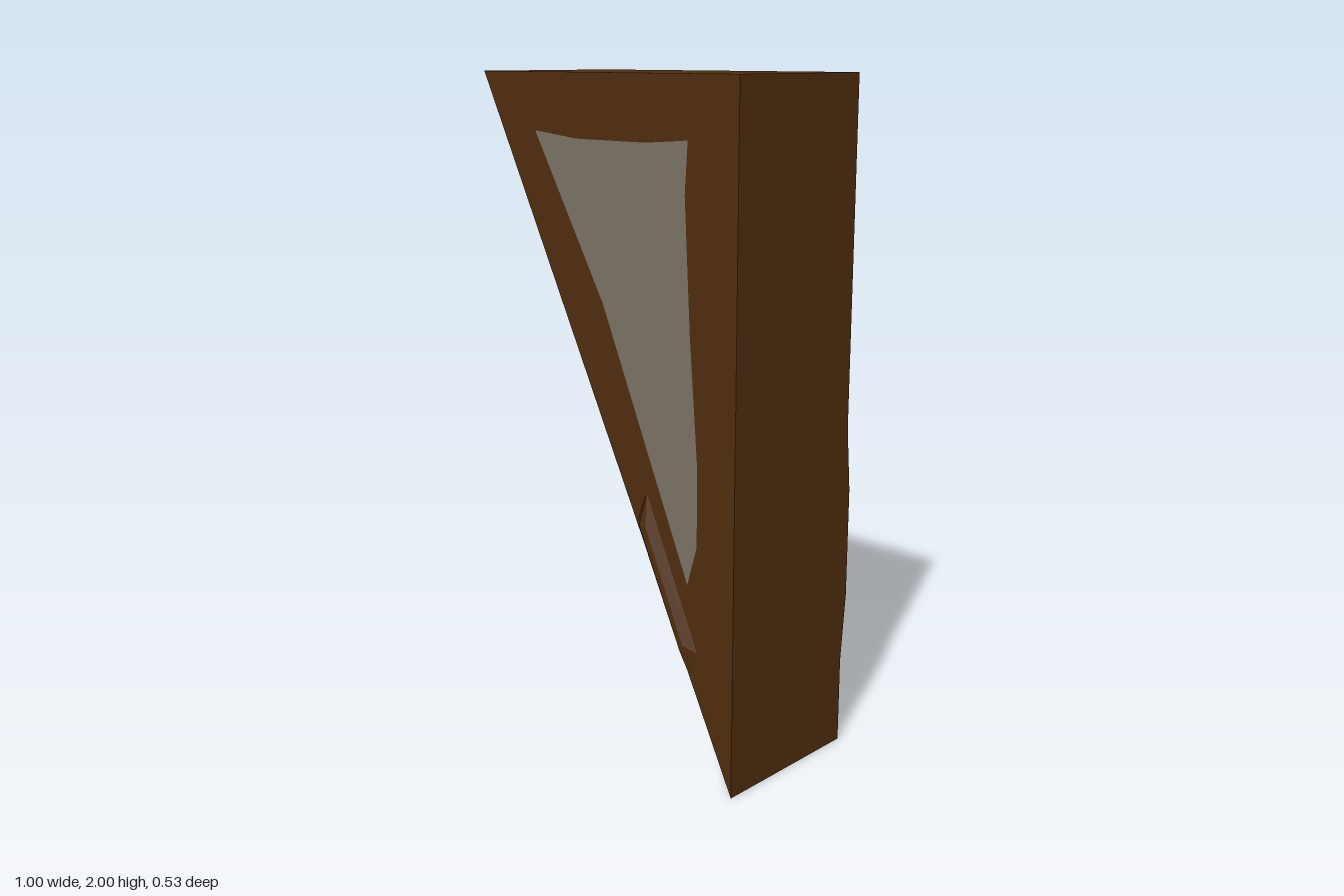
import * as THREE from 'three';

const wood = new THREE.MeshStandardMaterial({ color: 0x502d0e });
wood.name = 'darkBrown';
const stone = new THREE.MeshStandardMaterial({ color: 0x7a7265 });
stone.name = 'warmGrey';

// Convex solid between two matching outlines (counter-clockwise seen from the front)
function loft(name, back, zBack, front, zFront) {
  const pos = [];
  const n = front.length;
  const b = back.map(([x, y]) => [x, y, zBack]);
  const f = front.map(([x, y]) => [x, y, zFront]);
  const tri = (...corners) => corners.forEach((c) => pos.push(...c));
  for (let i = 0; i < n; i++) {
    const j = (i + 1) % n;
    tri(b[i], b[j], f[j]);
    tri(b[i], f[j], f[i]);
    if (i < n - 2) {
      tri(f[n - 1], f[i], f[i + 1]);
      tri(b[n - 1], b[i + 1], b[i]);
    }
  }
  const geo = new THREE.BufferGeometry();
  geo.setAttribute('position', new THREE.Float32BufferAttribute(pos, 3));
  geo.computeVertexNormals();
  const mesh = new THREE.Mesh(geo, wood);
  mesh.name = name;
  return mesh;
}

// Flat inlay; side is 1 for the front and -1 for the back
function inlay(name, points, side) {
  const shape = new THREE.Shape(points.map(([x, y]) => new THREE.Vector2(x * side, y)));
  const geo = new THREE.ShapeGeometry(shape);
  if (side < 0) geo.rotateY(Math.PI);
  geo.translate(0, 0, 0.252 * side);
  const mesh = new THREE.Mesh(geo, stone);
  mesh.name = name;
  return mesh;
}

export function createModel() {
  const group = new THREE.Group();
  group.name = 'wedgeBlock';

  // Tapered block with a blunted rear tip
  const outline = (tipX) => [[-0.5, 2], [0.33, 0.34], [tipX, 0.05], [0.5, 0], [0.5, 2]];
  group.add(loft('body', outline(0.45), -0.25, outline(0.475), 0.25));

  // Shallow swelling on the front along the slanted edge
  group.add(loft('frontSwelling',
    [[0.13, 0.74], [0.335, 0.33], [0.37, 0.4], [0.17, 0.84]], 0.249,
    [[0.155, 0.74], [0.315, 0.4], [0.325, 0.42], [0.18, 0.74]], 0.267));

  // Shallow swelling on the back along the upright edge
  group.add(loft('backSwelling',
    [[0.36, 0.8], [0.375, 0.52], [0.5, 0.47], [0.5, 0.8]], -0.268,
    [[0.35, 0.9], [0.36, 0.5], [0.5, 0.25], [0.5, 1.0]], -0.249));

  // Grey faces
  group.add(inlay('frontInlay', [
    [-0.275, 1.835], [0, 1.36], [0.33, 0.6], [0.365, 0.72], [0.365, 0.95],
    [0.335, 1.32], [0.315, 1.69], [0.325, 1.83], [0.17, 1.818], [-0.1, 1.818],
  ], 1));
  group.add(inlay('backInlay', [
    [-0.29, 1.826], [-0.04, 1.39], [0.355, 0.5], [0.46, 0.27], [0.37, 0.5],
    [0.355, 0.9], [0.34, 1.2], [0.315, 1.69], [0.356, 1.82], [-0.1, 1.83],
  ], -1));
  return group;
}
